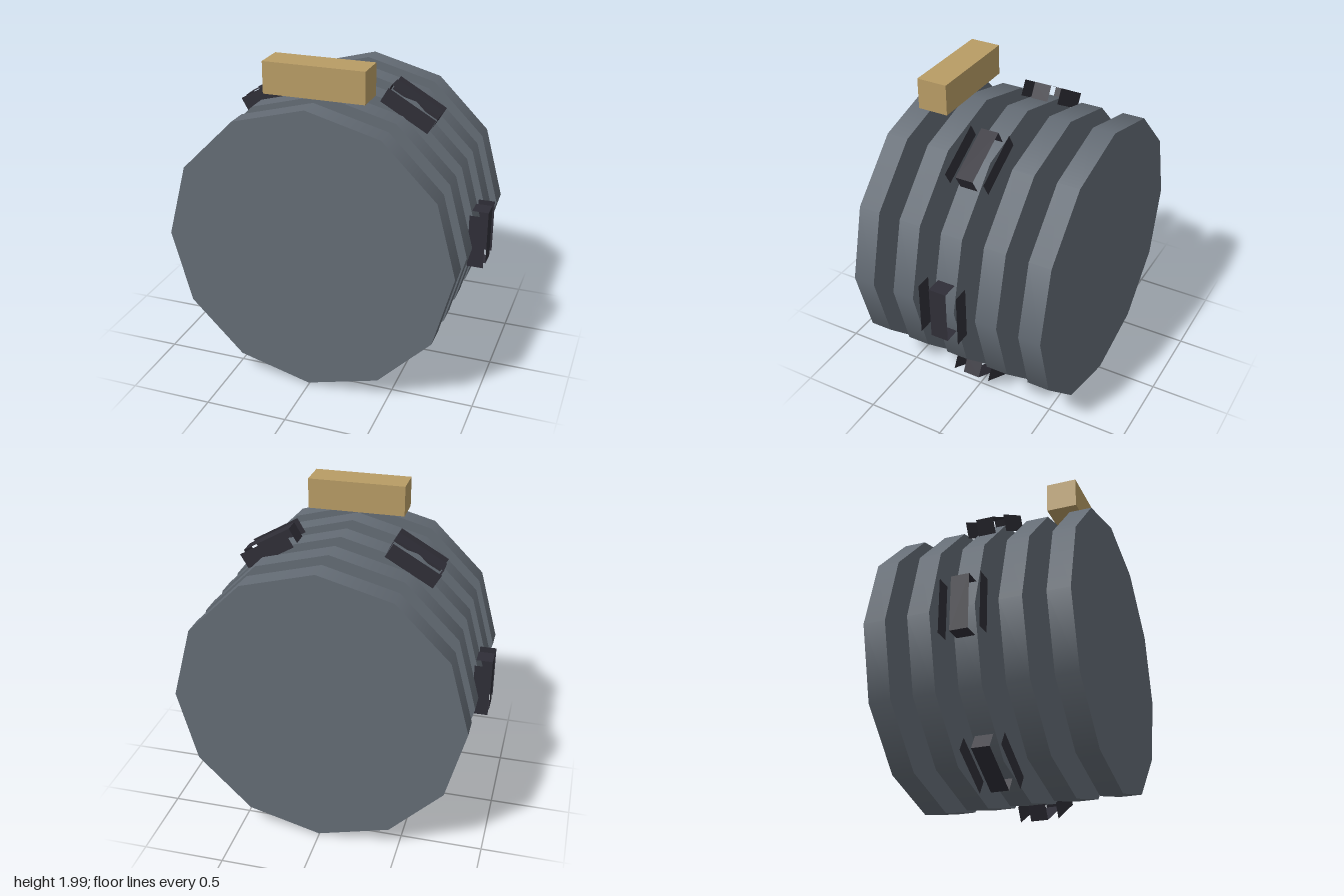
import * as THREE from 'three';

const CENTRE_Y = 0.905;

export function createModel() {
  const steel = new THREE.MeshStandardMaterial({ color: 0x646c75 });
  const rubber = new THREE.MeshStandardMaterial({ color: 0x2f2e37, side: THREE.DoubleSide });
  const brass = new THREE.MeshStandardMaterial({ color: 0xb89c65 });
  steel.name = 'steelGrey';
  rubber.name = 'darkRubber';
  brass.name = 'tan';

  const model = new THREE.Group();
  const add = (parent, name, geometry, material, x = 0, y = 0, z = 0) => {
    const mesh = new THREE.Mesh(geometry, material);
    mesh.name = name;
    mesh.position.set(x, y, z);
    parent.add(mesh);
    return mesh;
  };

  // Five separate twelve-sided discs along z, smooth round the rim
  const discGeometry = new THREE.CylinderGeometry(0.885, 0.885, 0.137, 12).rotateX(Math.PI / 2);
  for (let i = -2; i <= 2; i++) {
    add(model, 'disc', discGeometry, steel, 0, CENTRE_Y, i * 0.277);
  }

  // Six lugs round the middle disc: an open sleeve with a loose plate on each side
  const length = 0.335, depth = 0.1, width = 0.11;
  const outer = new THREE.PlaneGeometry(width, length).rotateY(Math.PI / 2);
  const end = new THREE.PlaneGeometry(depth, width).rotateX(-Math.PI / 2);
  const side = new THREE.PlaneGeometry(depth, length);
  for (let i = 0; i < 6; i++) {
    const lug = new THREE.Group();
    lug.name = 'lug';
    add(lug, 'lugOuterFace', outer, rubber, 0.94);
    add(lug, 'lugInnerFace', outer, rubber, 0.84).rotation.y = Math.PI;
    for (const s of [-1, 1]) {
      const cap = add(lug, 'lugEnd', end, rubber, 0.89, s * length / 2);
      if (s < 0) cap.rotation.x = Math.PI;
      const plate = add(lug, 'lugSidePlate', side, rubber, 0.89, 0, s * 0.123);
      if (s < 0) plate.rotation.y = Math.PI;
    }
    lug.position.y = CENTRE_Y;
    lug.rotation.z = i * Math.PI / 3;
    model.add(lug);
  }

  // Bar hovering over the front of the drum
  add(model, 'topBar', new THREE.BoxGeometry(0.61, 0.19, 0.19), brass, 0, 1.905, 0.39);

  return model;
}
